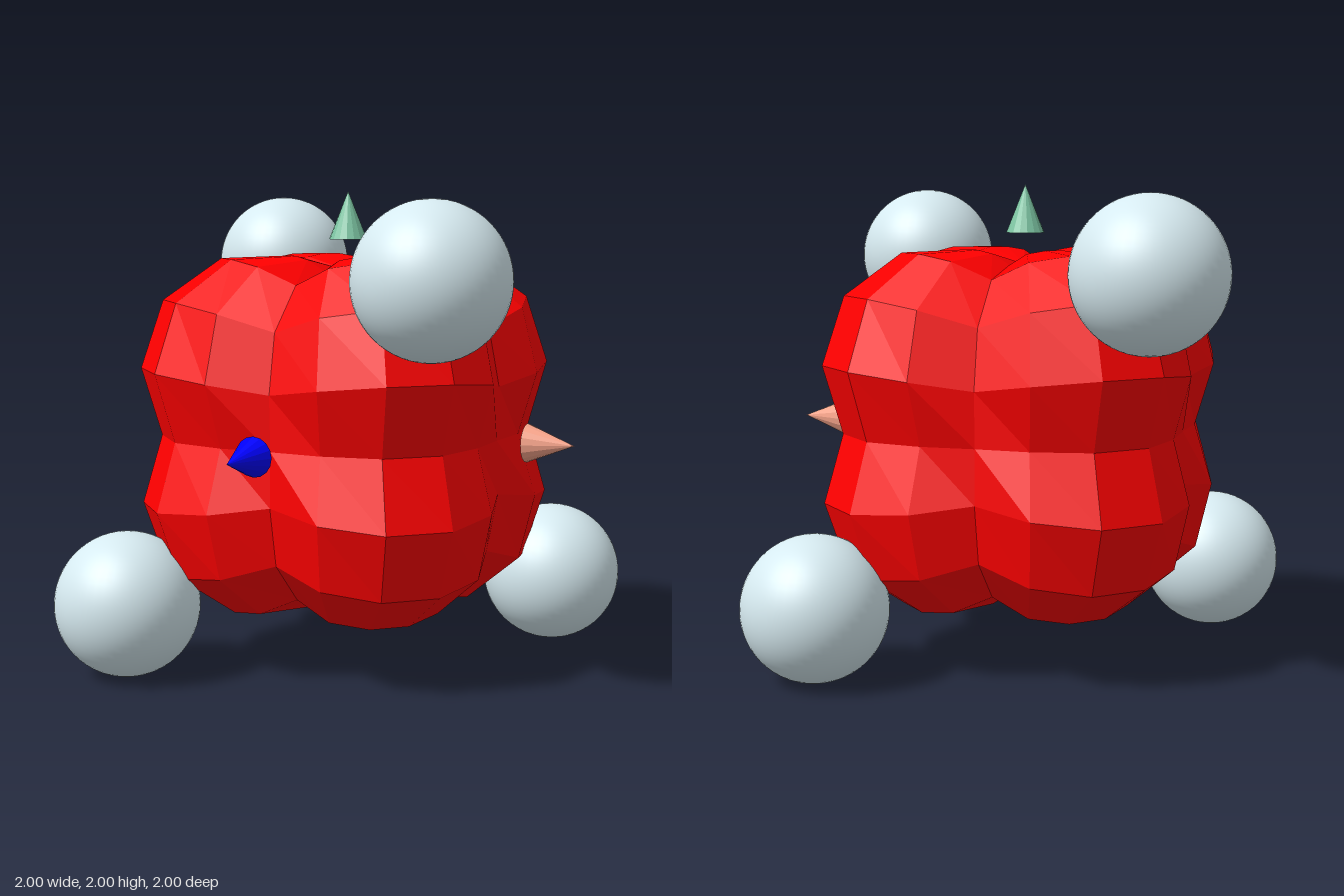
import * as THREE from 'three';

const CENTRE = new THREE.Vector3(-0.015, 0.988, -0.018);

// Faceted body: a sphere that swells along the diagonals into eight lobes,
// with shallow grooves where the axis planes cut it
function lobedGeometry() {
  const geo = new THREE.SphereGeometry(1, 20, 10);
  const pos = geo.attributes.position;
  const v = new THREE.Vector3();
  for (let i = 0; i < pos.count; i++) {
    v.fromBufferAttribute(pos, i).normalize();
    // Snap rounding noise so the grooves stay exactly on the axis planes
    const [a, b, c] = v.toArray().map((n) => (Math.abs(n) < 1e-5 ? 0 : n * n));
    const r = 0.68 + 0.49 * (a * b + b * c + c * a) + 0.29 * Math.pow(a * b * c, 0.25);
    pos.setXYZ(i, v.x * r, v.y * r, v.z * r);
  }
  geo.computeVertexNormals();
  return geo;
}

export function createModel() {
  const group = new THREE.Group();
  group.position.copy(CENTRE);
  const model = new THREE.Group();
  model.add(group);

  const add = (name, geo, color, flatShading = false) => {
    const mesh = new THREE.Mesh(geo, new THREE.MeshStandardMaterial({ color, flatShading }));
    mesh.name = name;
    group.add(mesh);
    return mesh;
  };

  add('lobedBody', lobedGeometry(), 0xff0000, true);

  // Four balls on alternate corners of a cube
  const ballGeo = new THREE.SphereGeometry(0.302, 48, 32);
  const corners = [[1, 1, 1], [-1, 1, -1], [-1, -1, 1], [1, -1, -1]];
  corners.forEach(([x, y, z], i) => {
    add('cornerBall' + (i + 1), ballGeo, 0xd6eaf0).position.set(x, y, z).multiplyScalar(0.682);
  });

  // Arrow tips marking the three axes
  const coneGeo = new THREE.ConeGeometry(0.08, 0.2, 16);
  coneGeo.translate(0, 0.912, 0);
  add('sideArrowTip', coneGeo, 0xfaa68c, true).rotation.z = -Math.PI / 2;
  add('topArrowTip', coneGeo, 0x7cc4a2, true);
  add('frontArrowTip', coneGeo, 0x0000ff, true).rotation.x = Math.PI / 2;

  return model;
}
